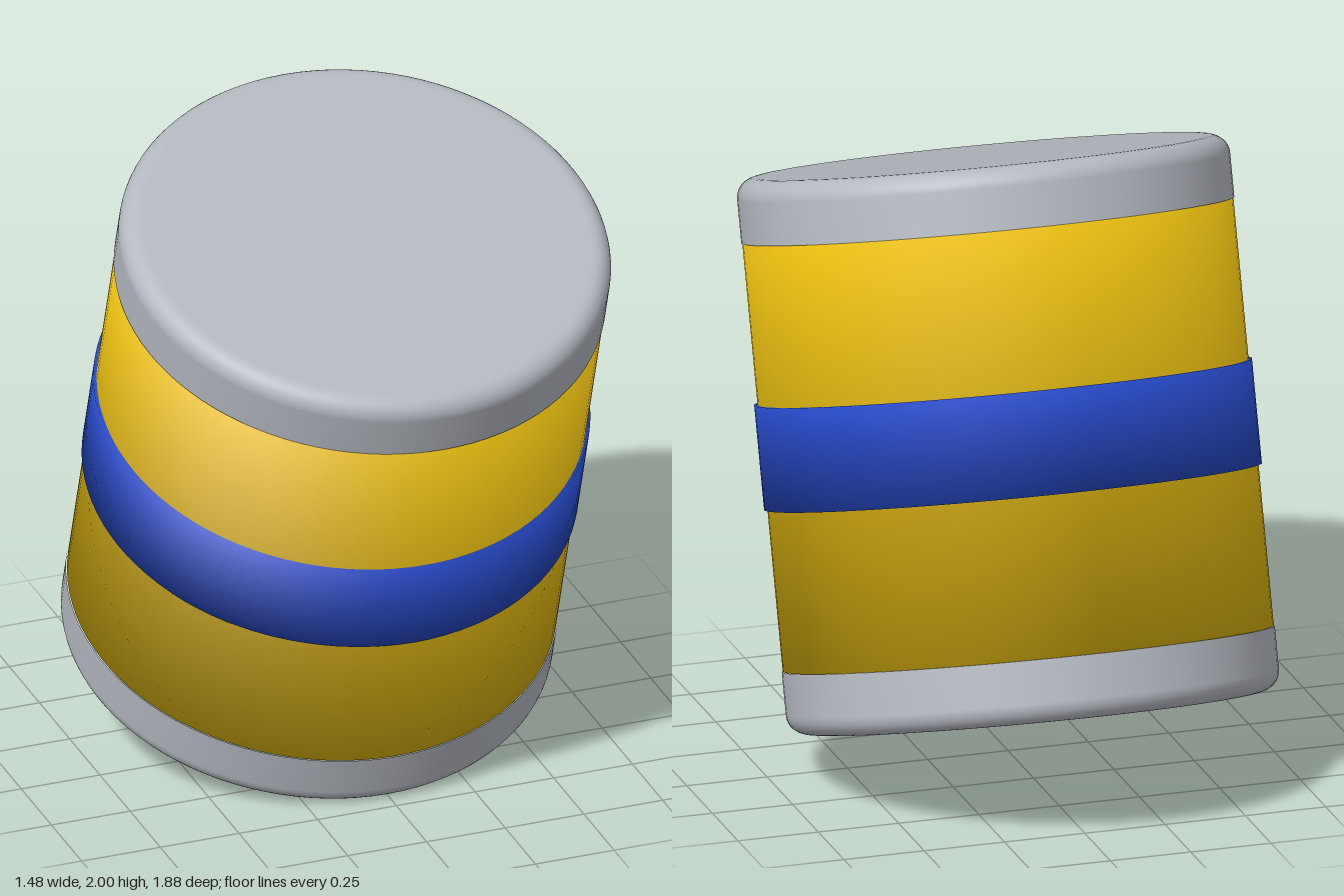
import * as THREE from 'three';

const SEGMENTS = 96;
const TILT = THREE.MathUtils.degToRad(18);

// Closed drum whose rim normals are softened between side and end faces
function softDrum(radius, height) {
  const side = new THREE.CylinderGeometry(radius, radius, height, SEGMENTS, 1);
  const pos = side.attributes.position;
  const normal = side.attributes.normal;
  const n = new THREE.Vector3();
  for (let i = 0; i < pos.count; i++) {
    const x = pos.getX(i), y = pos.getY(i), z = pos.getZ(i);
    if (Math.hypot(x, z) < radius * 0.5) continue; // end-face centres
    n.set(x / radius, Math.sign(y), z / radius).normalize();
    normal.setXYZ(i, n.x, n.y, n.z);
  }
  return side;
}

// Round end cap with a filleted outer edge, rising from y = 0
function capGeometry(radius, height, fillet) {
  const points = [new THREE.Vector2(radius, 0)];
  for (let i = 0; i <= 8; i++) {
    const a = (i / 8) * Math.PI / 2;
    points.push(new THREE.Vector2(
      radius - fillet + fillet * Math.cos(a),
      height - fillet + fillet * Math.sin(a)
    ));
  }
  points.push(new THREE.Vector2(radius - fillet - 0.005, height), new THREE.Vector2(0, height));
  return new THREE.LatheGeometry(points, SEGMENTS);
}

export function createModel() {
  const grey = new THREE.MeshStandardMaterial({ name: 'grey', color: 0xb4b8c0 });
  const yellow = new THREE.MeshStandardMaterial({ name: 'yellow', color: 0xe3b90f });
  const blue = new THREE.MeshStandardMaterial({ name: 'blue', color: 0x2547c2 });

  const model = new THREE.Group();
  model.name = 'tiltedCanister';

  const canister = new THREE.Group();
  canister.name = 'canister';
  canister.position.y = 1;
  canister.rotation.x = TILT; // top leans towards the front
  model.add(canister);

  const add = (name, geometry, material) => {
    const mesh = new THREE.Mesh(geometry, material);
    mesh.name = name;
    canister.add(mesh);
    return mesh;
  };

  // Body and raised middle band
  add('body', softDrum(0.732, 1.278), yellow);
  add('band', softDrum(0.742, 0.312), blue);

  // Matching caps at both ends
  const cap = capGeometry(0.735, 0.19, 0.06);
  add('topCap', cap, grey).position.y = 0.639;
  const bottomCap = add('bottomCap', cap, grey);
  bottomCap.position.y = -0.639;
  bottomCap.rotation.x = Math.PI;

  return model;
}
